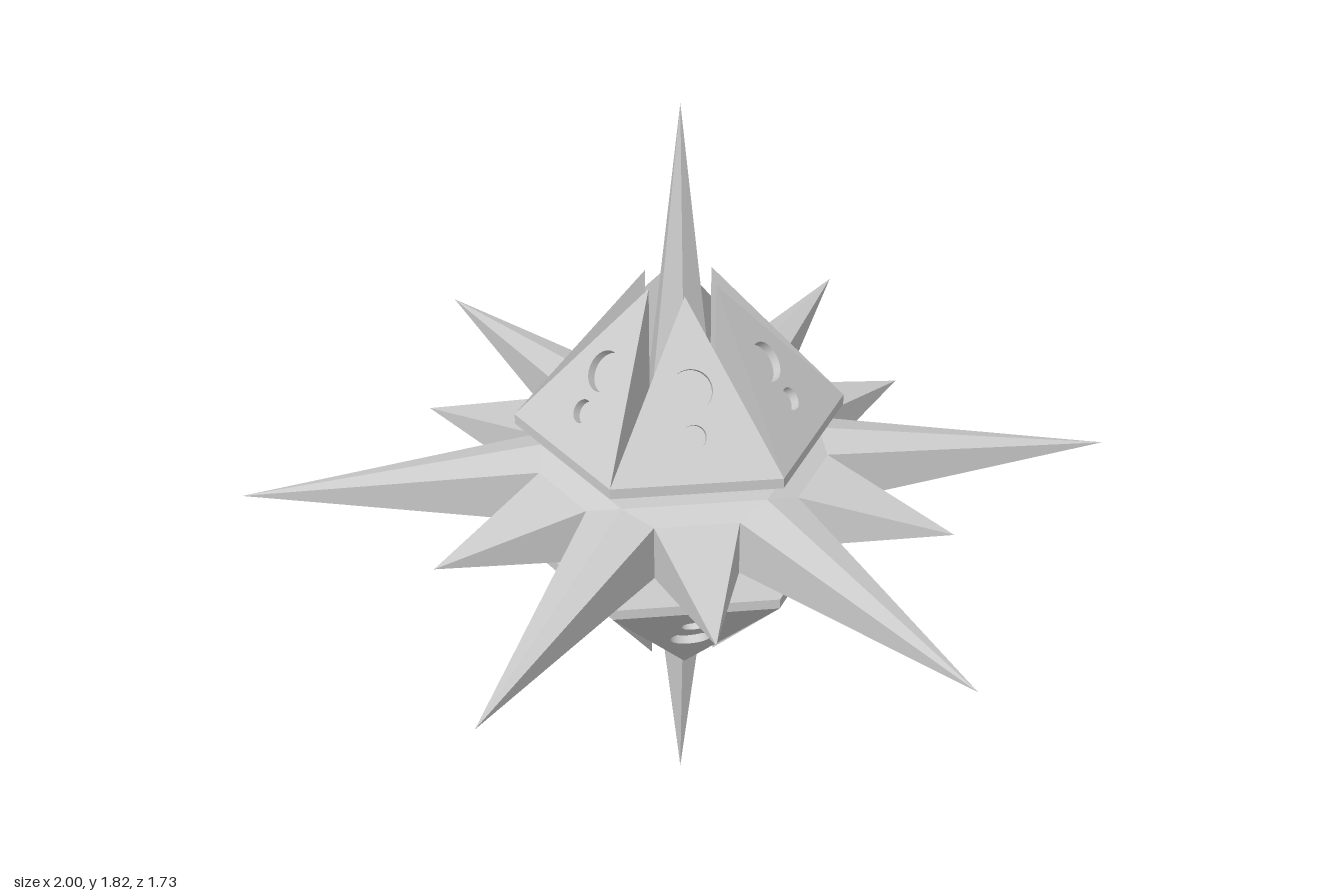
import * as THREE from 'three';

const grey = new THREE.MeshStandardMaterial({ color: 0xcccccc, flatShading: true });
const inner = new THREE.MeshStandardMaterial({ color: 0xcccccc, side: THREE.BackSide });

const MID = 0.91;      // height of the middle plane
const R = 0.375;       // hexagon corner radius
const A = R * Math.cos(Math.PI / 6); // hexagon flat radius
const V = (x, y, z) => new THREE.Vector3(x, y, z);

function mesh(name, geometry, material = grey) {
  const m = new THREE.Mesh(geometry, material);
  m.name = name;
  return m;
}

// Flat-faced solid from convex polygons, each turned to face away from the centre
function facets(polygons, centre = V(0, 0, 0)) {
  const points = [];
  for (const p of polygons) {
    for (let i = 1; i < p.length - 1; i++) {
      const t = new THREE.Triangle(p[0], p[i], p[i + 1]);
      const out = t.getMidpoint(V(0, 0, 0)).sub(centre);
      const facesOut = t.getNormal(V(0, 0, 0)).dot(out) > 0;
      points.push(...(facesOut ? [t.a, t.b, t.c] : [t.a, t.c, t.b]));
    }
  }
  const g = new THREE.BufferGeometry().setFromPoints(points);
  g.computeVertexNormals();
  return g;
}

// Central disc with six long ridged spikes and six short four-sided ones
function makeStar() {
  const polys = [];
  const rim = 0.067, top = 0.09, ridge = 0.32;
  for (let k = 0; k < 6; k++) {
    const turn = (v) => v.applyAxisAngle(V(0, 1, 0), k * Math.PI / 3);
    const corner = (side, r, y) => turn(V(side * r / 2, y, r * Math.cos(Math.PI / 6)));
    const valley = (side, y) => turn(V(side * R / 4, y, A));
    const shortTip = turn(V(0, 0, 0.66));
    for (const s of [-1, 1]) {
      // plate top or bottom, its sloped border, and the short spike's upper or lower face
      polys.push([V(0, s * top, 0), corner(-1, ridge, s * top), corner(1, ridge, s * top)]);
      polys.push([corner(-1, ridge, s * top), corner(1, ridge, s * top), valley(1, s * rim), valley(-1, s * rim)]);
      polys.push([shortTip, valley(-1, s * rim), valley(1, s * rim)]);
      // flanks of the short spike and the neighbouring half of a long spike
      const longTip = corner(s, 1, 0);
      polys.push([shortTip, valley(s, rim), valley(s, -rim)]);
      polys.push([longTip, valley(s, rim), valley(s, -rim)]);
      for (const h of [-1, 1]) polys.push([longTip, valley(s, h * rim), corner(s, ridge, h * top)]);
    }
  }
  return mesh('spikedDisc', facets(polys));
}

const FLOOR = 0.175, PEAK = 0.5, TIP_R = 0.085; // heights above the middle plane

// Triangular wedge whose sloped face carries two round recesses
function makePetal() {
  const petal = new THREE.Group();
  petal.name = 'petal';
  const left = V(-R / 2, FLOOR, A), right = V(R / 2, FLOOR, A);
  const peak = V(0, PEAK, TIP_R), foot = V(0, FLOOR, TIP_R);
  petal.add(mesh('petalWalls', facets([[left, peak, foot], [right, peak, foot], [left, right, foot]], V(0, 0.25, 0.24))));

  const face = new THREE.Group();
  face.name = 'petalFace';
  face.position.set(0, FLOOR, A);
  face.rotation.x = -Math.atan2(A - TIP_R, PEAK - FLOOR);
  const length = Math.hypot(A - TIP_R, PEAK - FLOOR);
  const shape = new THREE.Shape([
    new THREE.Vector2(-R / 2, 0), new THREE.Vector2(R / 2, 0), new THREE.Vector2(0, length)]);
  const depth = 0.02;
  for (const [y, r] of [[0.2, 0.047], [0.1, 0.027]]) {
    shape.holes.push(new THREE.Path().absarc(0, y, r, 0, Math.PI * 2, true));
    const wall = mesh('recessWall', new THREE.CylinderGeometry(r, r, depth, 32, 1, true).rotateX(Math.PI / 2), inner);
    wall.position.set(0, y, -depth / 2);
    const floor = mesh('recessFloor', new THREE.CircleGeometry(r, 32));
    floor.position.set(0, y, -depth);
    face.add(wall, floor);
  }
  face.add(mesh('slopedFace', new THREE.ShapeGeometry(shape, 16)));
  petal.add(face);
  return petal;
}

// Hexagonal base plate, six petals and a tall central spike
function makeCap(name) {
  const cap = new THREE.Group();
  cap.name = name;
  const plate = mesh('basePlate', new THREE.CylinderGeometry(R, R, 0.025, 6).rotateY(Math.PI / 6));
  plate.position.y = FLOOR - 0.0125;
  const spike = mesh('centralSpike', new THREE.ConeGeometry(TIP_R, MID - FLOOR, 6));
  spike.position.y = (MID + FLOOR) / 2;
  cap.add(plate, spike);
  for (let k = 0; k < 6; k++) {
    const petal = makePetal();
    petal.rotation.y = k * Math.PI / 3;
    cap.add(petal);
  }
  return cap;
}

export function createModel() {
  const model = new THREE.Group();
  model.name = 'spikedStar';
  const upper = makeCap('upperCap');
  const lower = makeCap('lowerCap');
  lower.rotation.x = Math.PI;
  const star = makeStar();
  for (const part of [upper, lower, star]) part.position.y = MID;
  model.add(upper, lower, star);
  return model;
}
